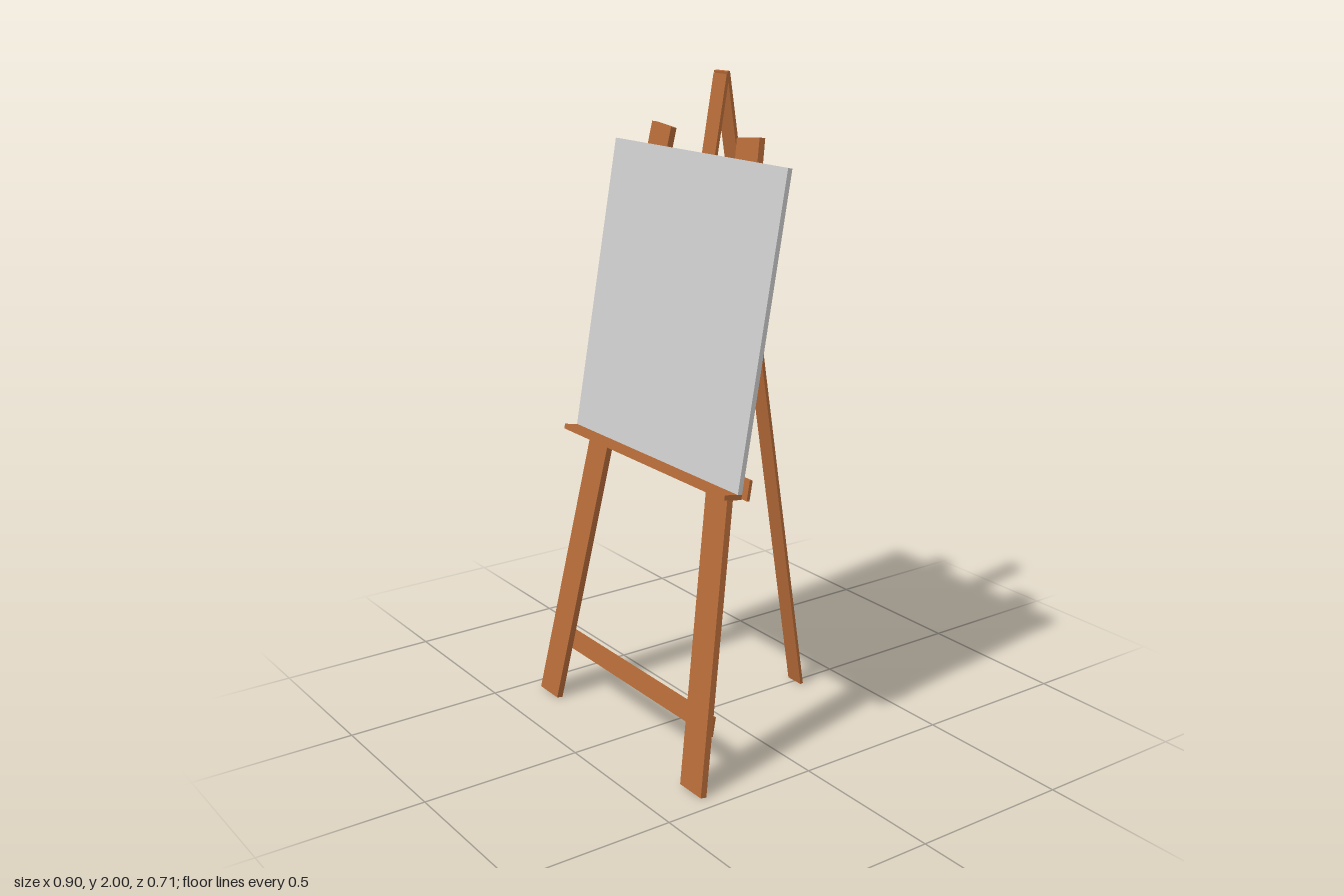
import * as THREE from 'three';

const wood = new THREE.MeshStandardMaterial({ color: 0xb56a38, flatShading: true });
const grey = new THREE.MeshStandardMaterial({ color: 0xcccccc, flatShading: true });

const LEAN = Math.atan(0.183); // backward lean of the front frame
const along = (y) => y / Math.cos(LEAN); // height to distance along the frame

function box(parent, name, w, h, d, x, y, z, material = wood) {
  const mesh = new THREE.Mesh(new THREE.BoxGeometry(w, h, d), material);
  mesh.name = name;
  mesh.position.set(x, y, z);
  parent.add(mesh);
  return mesh;
}

export function createModel() {
  const easel = new THREE.Group();
  easel.name = 'easel';

  // Leaning frame: local y runs up the slope, local z points out of it
  const frame = new THREE.Group();
  frame.name = 'frontFrame';
  frame.position.set(0, 0.002, 0.346);
  frame.rotation.x = -LEAN;
  easel.add(frame);

  // Splayed front legs: level feet, tops cut square
  for (const side of [1, -1]) {
    const outline = [
      [0.347, 0], [0.45, 0], [0.264, along(1.834)], [0.162, along(1.824)],
    ].map(([x, y]) => new THREE.Vector2(side * x, y));
    const geometry = new THREE.ExtrudeGeometry(new THREE.Shape(outline), { depth: 0.02, bevelEnabled: false });
    geometry.translate(0, 0, -0.01);
    const leg = new THREE.Mesh(geometry, wood);
    leg.name = side > 0 ? 'leftFrontLeg' : 'rightFrontLeg';
    frame.add(leg);
  }

  // Cross rails on the back of the legs
  for (const [name, width, y] of [
    ['lowerStretcher', 0.85, 0.2], ['shelfRail', 0.85, 0.887], ['upperRail', 0.64, 1.68],
  ]) box(frame, name, width, 0.06, 0.01, 0, along(y), -0.015);

  // Shelf and the board resting on it
  box(frame, 'shelf', 0.85, 0.015, 0.06, 0, along(0.869), 0.04);
  const low = along(0.876), high = along(1.767);
  box(frame, 'board', 0.85, high - low, 0.015, 0, (low + high) / 2, 0.0175, grey);

  // Centre post behind the rails
  const postLow = along(0.89), postHigh = along(1.993);
  box(frame, 'centrePost', 0.064, postHigh - postLow, 0.01, 0, (postLow + postHigh) / 2, -0.025);

  // Rear leg hinged at the top of the post
  const top = new THREE.Vector3(0, 1.999, -0.045);
  const foot = new THREE.Vector3(0, 0.001, -0.353);
  const mid = top.clone().add(foot).multiplyScalar(0.5);
  const rear = box(easel, 'rearLeg', 0.064, top.distanceTo(foot), 0.01, 0, mid.y, mid.z);
  rear.rotation.x = Math.atan2(top.z - foot.z, top.y - foot.y);

  return easel;
}
